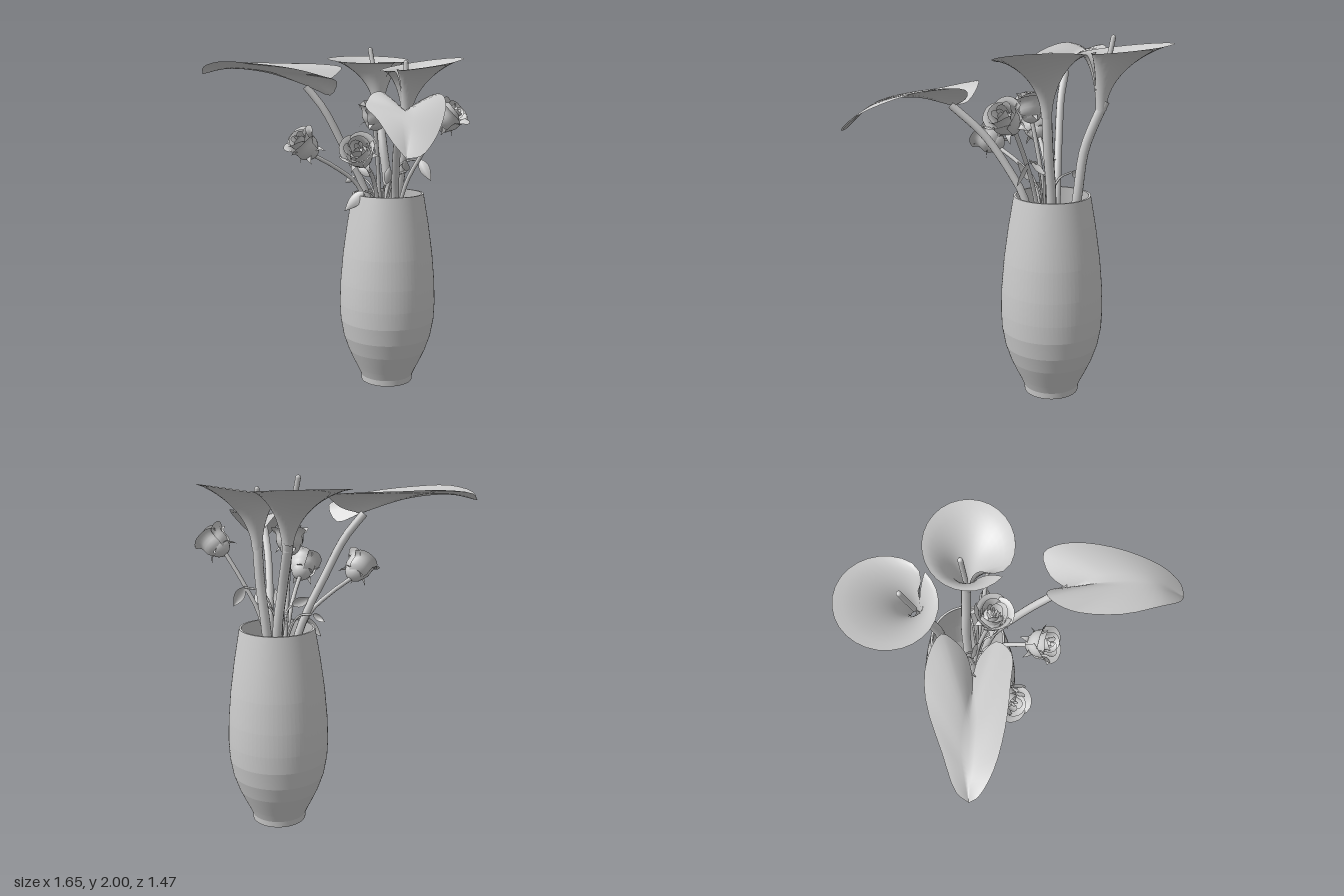
import * as THREE from 'three';
import { toCreasedNormals } from 'three/addons/utils/BufferGeometryUtils.js';

const solid = new THREE.MeshStandardMaterial({ color: 0xcccccc });
const thin = new THREE.MeshStandardMaterial({ color: 0xcccccc, side: THREE.DoubleSide });
const V = (p) => new THREE.Vector3(...p);
const curve = (pts) => new THREE.CatmullRomCurve3(pts.map(V), false, 'centripetal');

function mesh(name, geometry, material = solid) {
  const m = new THREE.Mesh(geometry, material);
  m.name = name;
  return m;
}

// Smooth grid surface from f(u, v) -> Vector3, with u and v in 0..1
function surface(f, nu, nv) {
  const pos = [], idx = [];
  for (let j = 0; j <= nv; j++) {
    for (let i = 0; i <= nu; i++) pos.push(...f(i / nu, j / nv).toArray());
  }
  for (let j = 0; j < nv; j++) {
    for (let i = 0; i < nu; i++) {
      const a = j * (nu + 1) + i, b = a + nu + 1;
      idx.push(a, b, a + 1, a + 1, b, b + 1);
    }
  }
  const g = new THREE.BufferGeometry();
  g.setAttribute('position', new THREE.Float32BufferAttribute(pos, 3));
  g.setIndex(idx);
  g.computeVertexNormals();
  return g;
}

const stem = (name, pts, r) => mesh(name, new THREE.TubeGeometry(curve(pts), 20, r, 10));

// Leaf blade in one sheet: ruled from the midrib (u = 0.5) to an edge curve on each side
function leaf(midPts, edges) {
  const mid = curve(midPts);
  const sides = edges.map((e) => curve([midPts[0], ...e, midPts[midPts.length - 1]]));
  return mesh('largeLeaf', surface((u, t) => {
    const s = Math.abs(u * 2 - 1);
    const p = mid.getPoint(t).lerp(sides[u < 0.5 ? 0 : 1].getPoint(t), s);
    p.y += 0.03 * s * (1 - s) * Math.sin(Math.PI * t);
    return p;
  }, 12, 24), thin);
}

// Small pointed leaf between two points
function smallLeaf(base, tip, width) {
  const a = V(base), b = V(tip), dir = b.clone().sub(a);
  const side = dir.clone().cross(V([0.3, 0.3, 1])).normalize();
  return mesh('smallLeaf', surface((u, v) => {
    const s = u * 2 - 1;
    const p = a.clone().addScaledVector(dir, v);
    p.addScaledVector(side, s * width * Math.sin(Math.PI * Math.pow(v, 0.8)));
    p.z += 0.012 * Math.sin(Math.PI * v) * (1 - s * s);
    return p;
  }, 4, 8), thin);
}

// Trumpet flower: flaring spathe with an overlapping curled edge, and a spadix
function lily(throat, rim, rx, rz, seam, slopeX, slopeZ, spadixTip) {
  const g = new THREE.Group();
  g.name = 'lilyFlower';
  g.add(mesh('spathe', surface((u, v) => {
    const k = Math.max(0, (u - 0.88) / 0.12);
    const a = seam + u * (Math.PI * 2 + 0.35);
    const c = Math.pow(v, 1.9) * (1 - 0.4 * k * k);
    const dx = Math.cos(a) * (0.028 + (rx - 0.028) * c);
    const dz = Math.sin(a) * (0.028 + (rz - 0.028) * c);
    const h = 1 - Math.pow(1 - v, 1.4), shift = v * v;
    return new THREE.Vector3(
      throat[0] + (rim[0] - throat[0]) * shift + dx,
      throat[1] + (rim[1] - throat[1]) * h + v * (dx * slopeX + dz * slopeZ),
      throat[2] + (rim[2] - throat[2]) * shift + dz);
  }, 30, 14), thin));
  const from = V(throat).add(V([0, 0.08, 0])), to = V(spadixTip), d = to.clone().sub(from);
  const s = mesh('spadix', new THREE.CapsuleGeometry(0.014, d.length() - 0.028, 4, 10));
  s.position.copy(from).lerp(to, 0.5);
  s.quaternion.setFromUnitVectors(V([0, 1, 0]), d.normalize());
  g.add(s);
  return g;
}

// One cupped petal around the local y axis, rolling outward at the top
function petal(angle, span, R, H, roll) {
  return mesh('petal', surface((u, v) => {
    const s = u * 2 - 1, top = Math.max(0, v - 0.65) / 0.35;
    const r = R * (0.2 + 0.8 * Math.sin(Math.min(1, v * 2) * Math.PI / 2)) + roll * top * top + 0.006 * s;
    const y = H * v * (1 - 0.16 * Math.pow(Math.abs(s), 3)) - roll * 0.45 * top * top;
    const a = angle + s * span;
    return new THREE.Vector3(Math.cos(a) * r, y, Math.sin(a) * r);
  }, 8, 9), thin);
}

function rose(base, tip, turn) {
  const g = new THREE.Group();
  g.name = 'rose';
  // Layers from the tight centre outward: count, radius, height, roll, half span
  const layers = [[2, 0.015, 0.165, 0, 1.5], [3, 0.033, 0.17, 0.006, 1.2],
    [3, 0.053, 0.17, 0.014, 1.15], [4, 0.073, 0.165, 0.028, 0.95]];
  layers.forEach(([n, R, H, roll, span], k) => {
    for (let i = 0; i < n; i++) g.add(petal(turn + k * 0.8 + i * 2 * Math.PI / n, span, R, H, roll));
  });
  // Rounded belly that closes the underside, and five drooping sepals
  const belly = mesh('belly', new THREE.SphereGeometry(0.06, 16, 12));
  belly.position.y = 0.055;
  g.add(belly);
  for (let i = 0; i < 5; i++) {
    const a = turn + i * Math.PI * 0.4;
    g.add(mesh('sepal', surface((u, v) => {
      const w = (u - 0.5) * 0.04 * Math.sin(Math.PI * (0.25 + 0.75 * v)), r = 0.015 + 0.08 * v;
      return new THREE.Vector3(Math.cos(a) * r - Math.sin(a) * w,
        0.005 + 0.05 * Math.sin(v * 2.6) - 0.02 * v, Math.sin(a) * r + Math.cos(a) * w);
    }, 2, 6), thin));
  }
  g.position.copy(V(base));
  g.quaternion.setFromUnitVectors(V([0, 1, 0]), V(tip).sub(V(base)).normalize());
  return g;
}

export function createModel() {
  const model = new THREE.Group();
  model.name = 'vaseOfFlowers';

  // Vase with an inner wall
  const profile = [[0, 0.005], [0.153, 0.005], [0.156, 0.04], [0.176, 0.085], [0.199, 0.13], [0.231, 0.2],
    [0.262, 0.29], [0.28, 0.39], [0.285, 0.49], [0.281, 0.62], [0.266, 0.79], [0.241, 0.97], [0.21, 1.15],
    [0.198, 1.15], [0.228, 0.97], [0.252, 0.79], [0.268, 0.5], [0.244, 0.28], [0.14, 0.06], [0, 0.06]];
  const vase = mesh('vase', toCreasedNormals(
    new THREE.LatheGeometry(profile.map((p) => new THREE.Vector2(...p)), 72), 0.095));
  vase.position.set(0.102, 0, -0.241);
  model.add(vase);

  // Two lilies
  model.add(
    stem('lilyStem', [[0.06, 0.5, -0.28], [0.03, 1.15, -0.36], [-0.01, 1.4, -0.37], [-0.07, 1.6, -0.42], [-0.09, 1.66, -0.44]], 0.027),
    lily([-0.075, 1.61, -0.425], [-0.195, 1.93, -0.49], 0.25, 0.25, 0.3, -0.07, -0.08, [-0.15, 2.0, -0.44]),
    stem('lilyStem', [[0.12, 0.5, -0.24], [0.15, 1.15, -0.28], [0.18, 1.4, -0.285], [0.195, 1.64, -0.285]], 0.027),
    lily([0.195, 1.58, -0.285], [0.28, 1.895, -0.308], 0.24, 0.228, 1.8, 0.08, -0.15, [0.18, 1.92, -0.3]));

  // Two large heart-shaped leaves
  model.add(
    stem('leafStem', [[0.1, 0.5, -0.26], [0, 1.12, -0.18], [-0.12, 1.45, -0.08], [-0.2, 1.64, -0.02], [-0.29, 1.77, 0.03]], 0.022),
    leaf([[-0.27, 1.77, 0.02], [-0.5, 1.85, 0.14], [-0.7, 1.87, 0.24], [-0.825, 1.84, 0.315]], [
      [[-0.2, 1.8, -0.05], [-0.18, 1.84, -0.12], [-0.19, 1.88, -0.19], [-0.34, 1.9, -0.18], [-0.51, 1.905, -0.09], [-0.7, 1.905, 0.11], [-0.82, 1.88, 0.25]],
      [[-0.15, 1.72, -0.01], [-0.07, 1.8, 0.04], [-0.1, 1.83, 0.14], [-0.24, 1.87, 0.21], [-0.46, 1.9, 0.3], [-0.66, 1.91, 0.35], [-0.79, 1.88, 0.345]]]),
    stem('leafStem', [[0.13, 0.5, -0.22], [0.21, 1.12, -0.14], [0.25, 1.27, -0.07], [0.33, 1.47, 0.05], [0.44, 1.63, 0.19]], 0.022),
    leaf([[0.43, 1.625, 0.18], [0.55, 1.665, 0.36], [0.67, 1.63, 0.55], [0.765, 1.47, 0.73]], [
      [[0.43, 1.67, 0.08], [0.5, 1.73, 0], [0.59, 1.74, 0.06], [0.7, 1.7, 0.22], [0.79, 1.62, 0.43], [0.828, 1.54, 0.59], [0.815, 1.48, 0.69]],
      [[0.38, 1.65, 0.12], [0.29, 1.745, 0.13], [0.27, 1.745, 0.2], [0.3, 1.71, 0.31], [0.41, 1.68, 0.5], [0.57, 1.63, 0.65], [0.69, 1.54, 0.725]]]));

  // Four roses: base, tip, point where the stem leaves the vase
  const roses = [
    [[-0.17, 1.385, 0.12], [-0.235, 1.55, 0.28], [-0.01, 1.19, -0.1]],
    [[0.155, 1.365, 0.11], [0.19, 1.49, 0.27], [0.1, 1.2, -0.1]],
    [[0.105, 1.53, -0.09], [0.115, 1.7, -0.07], [0.09, 1.18, -0.16]],
    [[0.41, 1.54, -0.27], [0.525, 1.645, -0.28], [0.22, 1.18, -0.22]]];
  roses.forEach(([base, tip, rim], i) => {
    const mid = V(base).lerp(V(rim), 0.5).add(V([0, 0.02, 0])).toArray();
    model.add(stem('roseStem', [[0.1, 0.5, -0.24], rim, mid, base], 0.012), rose(base, tip, i * 0.7));
  });

  // Small leaves on short twigs around the rim
  const small = [
    [[0.05, 1.18, -0.06], [-0.05, 1.06, -0.005], 0.035],
    [[0.3, 1.36, -0.26], [0.38, 1.24, -0.25], 0.03],
    [[0.06, 1.26, -0.15], [-0.05, 1.31, -0.13], 0.03],
    [[-0.1, 1.24, -0.2], [-0.17, 1.2, -0.19], 0.02],
    [[0.16, 1.22, -0.12], [0.21, 1.33, -0.08], 0.025],
    [[0.2, 1.28, -0.28], [0.24, 1.36, -0.2], 0.025]];
  for (const [base, tip, w] of small) {
    const mid = [(base[0] + 0.1) / 2, base[1] - 0.03, (base[2] - 0.18) / 2];
    model.add(smallLeaf(base, tip, w), stem('twig', [[0.1, 1.0, -0.18], mid, base], 0.006));
  }
  return model;
}
